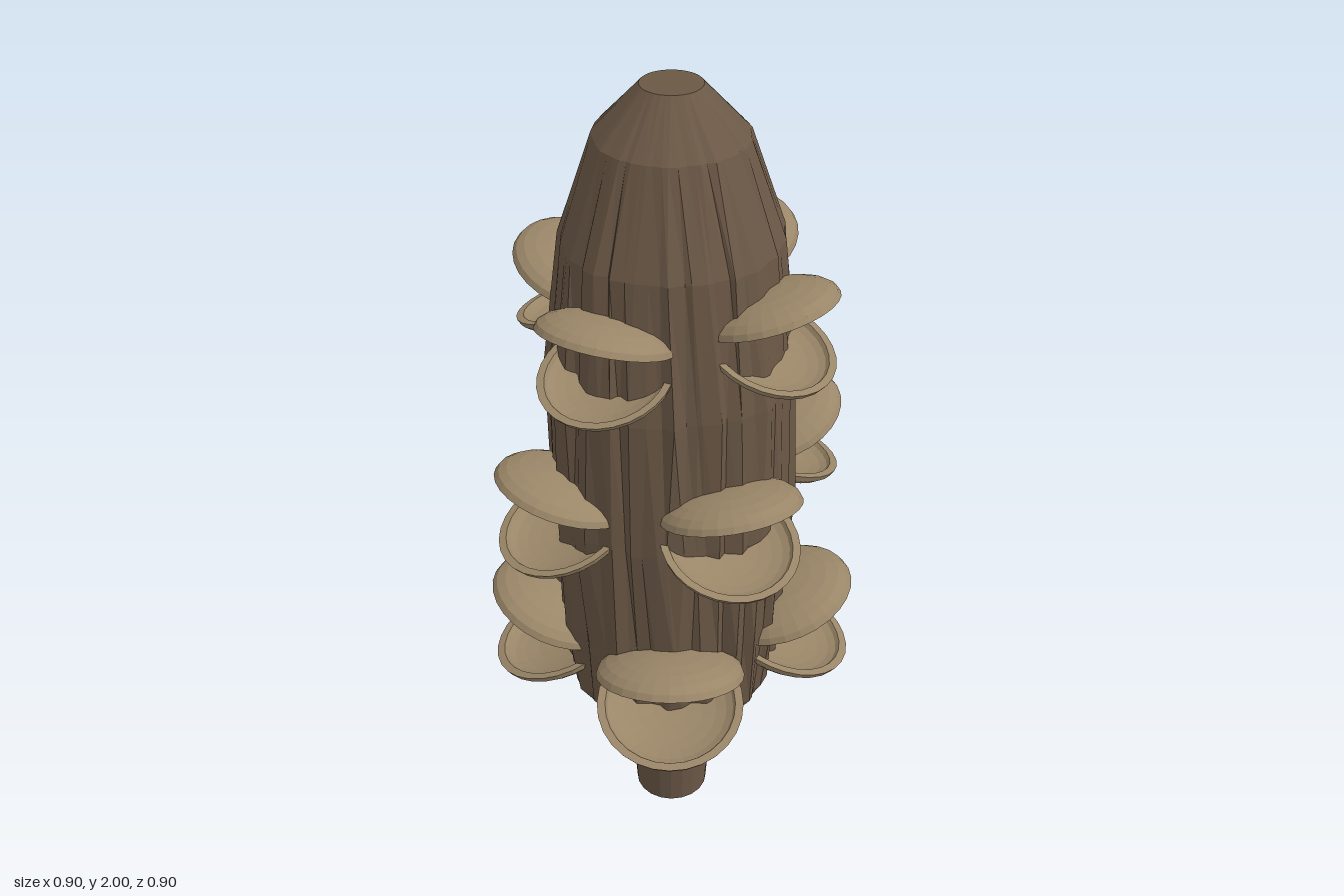
import * as THREE from 'three';

const bark = new THREE.MeshStandardMaterial({ color: 0x6b5846, flatShading: true });
const husk = new THREE.MeshStandardMaterial({ color: 0x9a8668, flatShading: true });

// repeatable noise in -1..1
function noise(i, j) {
  const s = Math.sin(i * 127.1 + j * 311.7 + 4.3) * 43758.5453;
  return 2 * (s - Math.floor(s)) - 1;
}

// Furrowed seed-cone body: a lathe whose vertices are jittered ring by ring
function makeBody() {
  const profile = [
    [0, 0.21], [0.11, 0.21], [0.185, 0.33], [0.26, 0.45], [0.277, 0.66], [0.288, 0.98],
    [0.282, 1.33], [0.248, 1.66], [0.17, 1.89], [0.068, 2], [0, 2],
  ];
  const columns = 64;
  const geo = new THREE.LatheGeometry(profile.map(p => new THREE.Vector2(...p)), columns);
  const pos = geo.attributes.position;
  for (let c = 0; c <= columns; c++) {
    for (let ring = 1; ring < profile.length - 1; ring++) {
      const k = c % columns;
      const [radius, y] = profile[ring];
      const rough = ring === 1 || ring === profile.length - 2 ? 0.01 : ring >= 7 ? 0.035 : 0.06;
      const r = radius * (1 + rough * (0.5 * noise(k, 0) + 0.5 * noise(k, ring)));
      const a = (c + 0.4 * noise(k, ring + 20)) / columns * Math.PI * 2;
      pos.setXYZ(c * profile.length + ring, r * Math.sin(a), y, r * Math.cos(a));
    }
  }
  geo.computeVertexNormals();
  const body = new THREE.Mesh(geo, bark);
  body.name = 'coneBody';
  return body;
}

// Shallow hollow shell, open side down
function shellGeometry(radius) {
  const height = radius * 0.36, wall = radius * 0.11, steps = 6;
  const pts = [];
  for (let i = 0; i <= steps; i++) {
    const a = i / steps * Math.PI / 2;
    pts.push(new THREE.Vector2((radius - wall) * Math.sin(a), (height - wall) * Math.cos(a)));
  }
  for (let i = steps; i >= 0; i--) {
    const a = i / steps * Math.PI / 2;
    pts.push(new THREE.Vector2(radius * Math.sin(a), height * Math.cos(a)));
  }
  return new THREE.LatheGeometry(pts, 28);
}

// An open pod: two shells gaping outwards like lips
function makePod(geo, reach, gap, tilt) {
  const pod = new THREE.Group();
  pod.name = 'seedPod';
  const upper = new THREE.Mesh(geo, husk);
  upper.name = 'upperValve';
  upper.position.set(0, gap, reach);
  upper.rotation.x = -tilt;
  const lower = new THREE.Mesh(geo, husk);
  lower.name = 'lowerValve';
  lower.position.set(0, -gap, reach);
  lower.rotation.x = Math.PI + tilt;
  pod.add(upper, lower);
  return pod;
}

export function createModel() {
  const model = new THREE.Group();
  model.name = 'seedCone';

  const stem = new THREE.Mesh(new THREE.CylinderGeometry(0.108, 0.093, 0.23, 20), bark);
  stem.name = 'stem';
  stem.position.y = 0.115;
  model.add(stem, makeBody());

  // Three tiers of four pods, each tier turned further round; heights run front, left, back, right
  const tiers = [
    { heights: [0.58, 0.59, 0.6, 0.57], radius: 0.178, reach: 0.282, turn: 0 },
    { heights: [1.05, 1.055, 1.04, 1.015], radius: 0.164, reach: 0.285, turn: 0.5 },
    { heights: [1.5, 1.49, 1.46, 1.475], radius: 0.154, reach: 0.256, turn: 1 },
  ];
  for (const { heights, radius, reach, turn } of tiers) {
    const geo = shellGeometry(radius);
    heights.forEach((y, i) => {
      const pod = makePod(geo, reach, radius * 0.27, 0.35);
      pod.position.y = y;
      pod.rotation.y = turn + i * Math.PI / 2;
      model.add(pod);
    });
  }
  return model;
}
